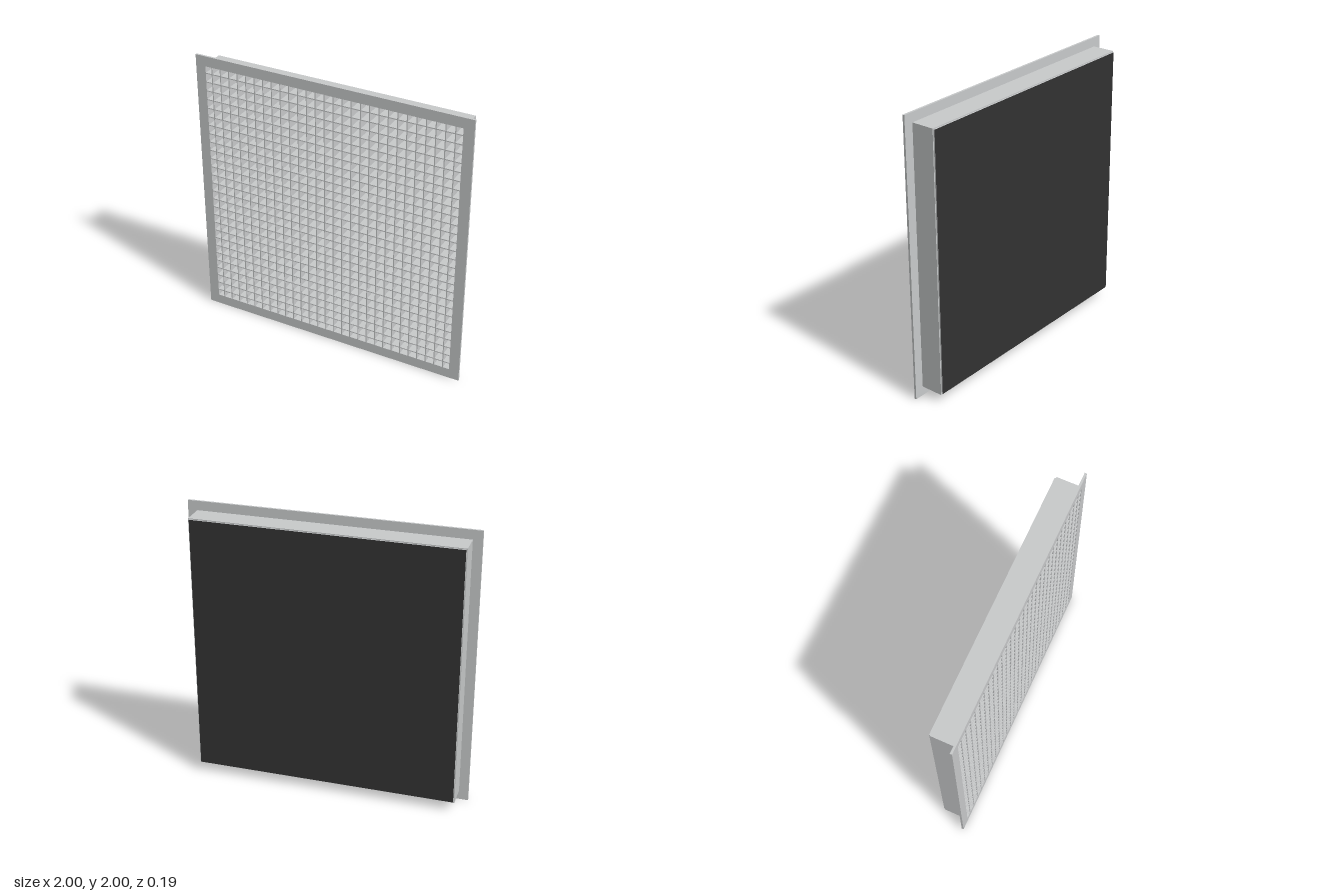
import * as THREE from 'three';

const FRONT = 0.093, FLANGE_BACK = 0.078, BODY_BACK = -0.084, BACK = -0.093;
const OPENING = 0.927, BODY = 0.934;

// Square ring between two depths, centred on the z axis
function ring(outer, inner, z0, z1) {
  const square = (Type, h) => new Type([[-h, -h], [h, -h], [h, h], [-h, h]].map(([x, y]) => new THREE.Vector2(x, y)));
  const shape = square(THREE.Shape, outer);
  shape.holes.push(square(THREE.Path, inner));
  return new THREE.ExtrudeGeometry(shape, { depth: z1 - z0, bevelEnabled: false }).translate(0, 0, z0);
}

export function createModel() {
  const group = new THREE.Group();
  const metal = new THREE.MeshStandardMaterial({ color: 0xc8cacb });
  metal.name = 'lightGreyMetal';
  const dark = new THREE.MeshStandardMaterial({ color: 0x323232 });
  dark.name = 'darkBacking';

  function add(name, geometry, material, x = 0, y = 0, z = 0) {
    const mesh = new THREE.Mesh(geometry, material);
    mesh.name = name;
    mesh.position.set(x, y + 1, z);
    group.add(mesh);
  }

  // Flange around the face and the duct collar behind it
  add('flange', ring(1, OPENING, FLANGE_BACK, FRONT), metal);
  add('collar', ring(BODY, OPENING, BODY_BACK, FLANGE_BACK), metal);

  // Backing panel: grey floor and edges, dark rear face
  const panel = new THREE.BoxGeometry(2 * OPENING, 2 * OPENING, BODY_BACK - BACK);
  add('backPanel', panel, [metal, metal, metal, metal, metal, dark], 0, 0, (BODY_BACK + BACK) / 2);

  // Egg-crate grid of crossing slats
  const slats = 28, pitch = 0.065, thickness = 0.007;
  const depth = FRONT - BODY_BACK, mid = (FRONT + BODY_BACK) / 2;
  const upright = new THREE.BoxGeometry(thickness, 2 * OPENING, depth);
  const level = new THREE.BoxGeometry(2 * OPENING, thickness, depth);
  for (let i = 0; i < slats; i++) {
    const p = (i - (slats - 1) / 2) * pitch;
    add('verticalSlat', upright, metal, p, 0, mid);
    add('horizontalSlat', level, metal, 0, p, mid);
  }
  return group;
}
